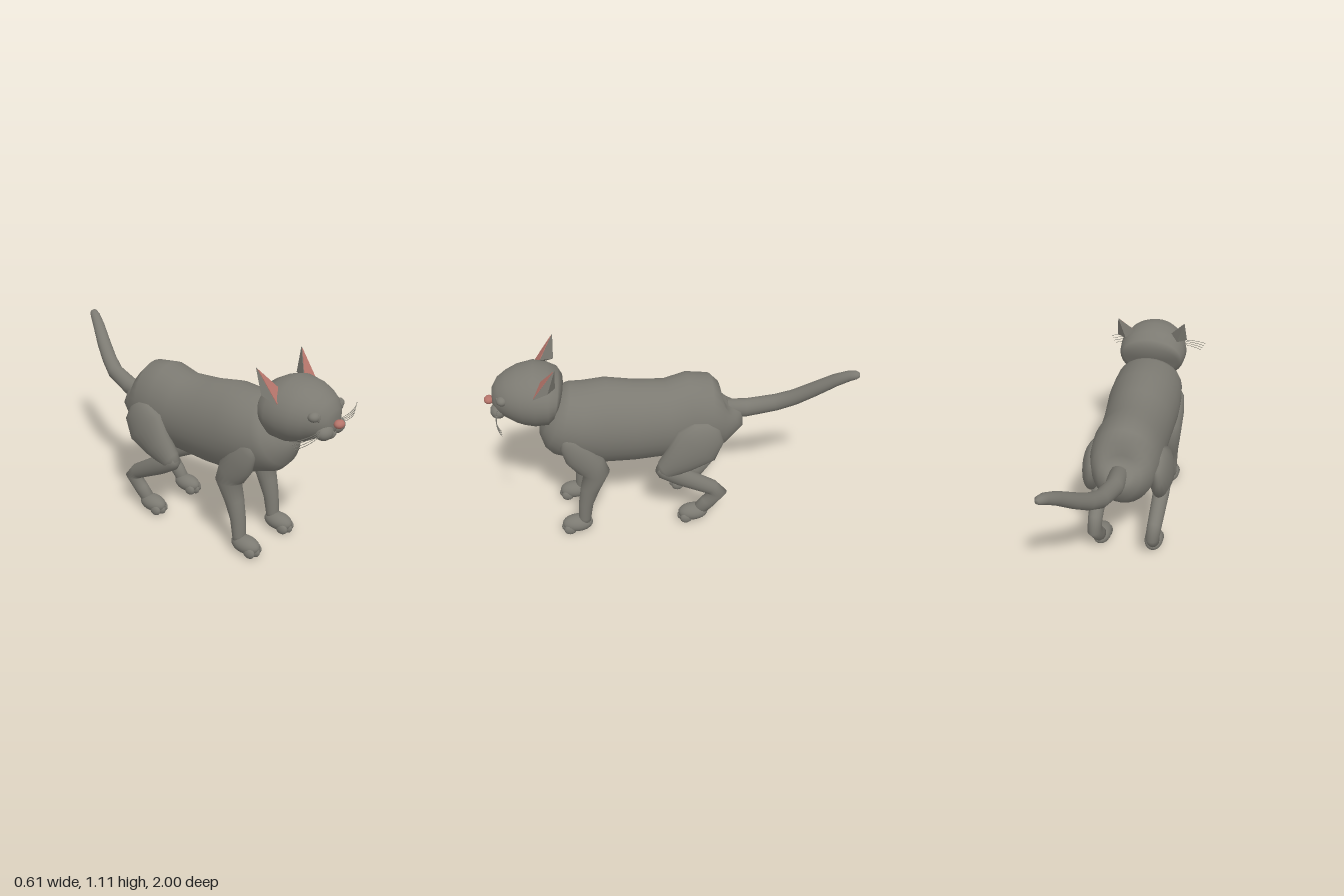
import * as THREE from 'three';
import { ConvexGeometry } from 'three/addons/geometries/ConvexGeometry.js';

const fur = new THREE.MeshStandardMaterial({ color: 0x7c7a72 });
fur.name = 'greyFur';
const pink = new THREE.MeshStandardMaterial({ color: 0xb5746a });
pink.name = 'pinkSkin';

// Skin over elliptical sections [x, y, z, halfWidth, halfDepth], closed at both ends
function loft(sections, sides = 28) {
  const centres = sections.map(s => new THREE.Vector3(s[0], s[1], s[2]));
  const last = sections.length - 1;
  const pos = [], index = [];
  sections.forEach(([, , , rx, ry], i) => {
    const before = centres[Math.max(i - 1, 0)], after = centres[Math.min(i + 1, last)];
    const a = centres[i].clone().sub(before).normalize();
    const t = after.clone().sub(centres[i]).normalize().add(a).normalize();
    const u = new THREE.Vector3(1, 0, 0).addScaledVector(t, -t.x).normalize();
    const v = t.clone().cross(u);
    for (let j = 0; j < sides; j++) {
      const ang = (j / sides) * Math.PI * 2;
      const p = centres[i].clone().addScaledVector(u, rx * Math.cos(ang)).addScaledVector(v, ry * Math.sin(ang));
      pos.push(p.x, p.y, p.z);
    }
  });
  for (let i = 0; i < last; i++) {
    for (let j = 0; j < sides; j++) {
      const k = (j + 1) % sides;
      const a = i * sides + j, b = i * sides + k;
      index.push(a, b, b + sides, a, b + sides, a + sides);
    }
  }
  const start = pos.length / 3, end = start + 1;
  pos.push(...centres[0].toArray(), ...centres[last].toArray());
  for (let j = 0; j < sides; j++) {
    const k = (j + 1) % sides;
    index.push(start, k, j, end, last * sides + j, last * sides + k);
  }
  const g = new THREE.BufferGeometry();
  g.setAttribute('position', new THREE.Float32BufferAttribute(pos, 3));
  g.setIndex(index);
  g.computeVertexNormals();
  return g;
}

function add(parent, name, geometry, material = fur) {
  const mesh = new THREE.Mesh(geometry, material);
  mesh.name = name;
  parent.add(mesh);
  return mesh;
}

function ellipsoid(parent, name, [x, y, z], [rx, ry, rz], material = fur) {
  const mesh = add(parent, name, new THREE.SphereGeometry(1, 24, 16), material);
  mesh.position.set(x, y, z);
  mesh.scale.set(rx, ry, rz);
  return mesh;
}

// Profile along z: rows of [z, bottom, top, halfWidth]
const alongZ = rows => rows.map(([z, lo, hi, w]) => [0, (lo + hi) / 2, z, w, (hi - lo) / 2]);

function paw(parent, name, x, z) {
  ellipsoid(parent, name, [x, 0.056, z], [0.055, 0.05, 0.088]);
  for (const k of [-1, 0, 1]) {
    ellipsoid(parent, name + 'Toe', [x + k * 0.032, 0.034, z + 0.058 - Math.abs(k) * 0.012],
      [0.021, 0.033, 0.036]);
  }
}

export function createModel() {
  const cat = new THREE.Group();
  cat.name = 'cat';

  // Trunk from rump to chest
  add(cat, 'body', loft(alongZ([
    [-0.375, 0.62, 0.75, 0.07], [-0.36, 0.54, 0.78, 0.115], [-0.3, 0.455, 0.835, 0.165],
    [-0.22, 0.42, 0.885, 0.192], [-0.12, 0.415, 0.902, 0.2], [0, 0.41, 0.867, 0.195],
    [0.2, 0.4, 0.878, 0.203], [0.37, 0.408, 0.905, 0.215], [0.5, 0.445, 0.895, 0.213],
    [0.6, 0.485, 0.903, 0.2], [0.64, 0.53, 0.89, 0.18], [0.68, 0.61, 0.84, 0.13], [0.69, 0.66, 0.8, 0.08],
  ])));

  // Tail
  add(cat, 'tail', loft([
    [0.005, 0.665, -0.34, 0.053, 0.057], [0.01, 0.664, -0.45, 0.05, 0.053], [0.045, 0.705, -0.61, 0.046, 0.048],
    [0.085, 0.755, -0.7, 0.044, 0.044], [0.13, 0.825, -0.79, 0.042, 0.04], [0.185, 0.91, -0.89, 0.036, 0.034],
    [0.22, 0.953, -0.955, 0.03, 0.028], [0.236, 0.963, -0.985, 0.024, 0.022], [0.24, 0.964, -1, 0.012, 0.012],
  ], 20));

  // Head, flat at the back
  const head = new THREE.Group();
  head.name = 'headGroup';
  cat.add(head);
  add(head, 'head', loft(alongZ([
    [0.608, 0.76, 0.95, 0.165], [0.62, 0.73, 0.99, 0.185], [0.66, 0.7, 1.02, 0.2],
    [0.73, 0.696, 1.04, 0.205], [0.8, 0.707, 1.025, 0.188], [0.85, 0.72, 1.0, 0.163],
    [0.89, 0.736, 0.968, 0.134], [0.925, 0.757, 0.92, 0.096], [0.948, 0.785, 0.88, 0.055], [0.955, 0.81, 0.855, 0.02],
  ]), 32));
  ellipsoid(head, 'nose', [0, 0.848, 0.973], [0.032, 0.022, 0.026], pink);
  ellipsoid(head, 'chin', [0, 0.785, 0.92], [0.045, 0.03, 0.035]);

  for (const s of [1, -1]) {
    const side = s > 0 ? 'left' : 'right';

    // Muzzle pads, freckles and eyes
    ellipsoid(head, side + 'Muzzle', [s * 0.056, 0.81, 0.925], [0.054, 0.041, 0.043]);
    for (const [x, y] of [[0.035, 0.817], [0.06, 0.805], [0.075, 0.822]]) {
      ellipsoid(head, side + 'WhiskerDot', [s * x, y, 0.962 - (x - 0.035) * 0.15], [0.004, 0.004, 0.004]);
    }
    ellipsoid(head, side + 'Eye', [s * 0.111, 0.901, 0.895], [0.037, 0.026, 0.03]).rotation.z = s * 0.08;
    ellipsoid(head, side + 'Pupil', [s * 0.108, 0.899, 0.919], [0.009, 0.022, 0.008]);

    // Whiskers
    for (let i = 0; i < 4; i++) {
      const curve = new THREE.QuadraticBezierCurve3(
        new THREE.Vector3(s * 0.085, 0.832 - i * 0.008, 0.925),
        new THREE.Vector3(s * 0.2, 0.84 - i * 0.012, 0.95),
        new THREE.Vector3(s * (0.305 - i * 0.008), 0.842 - i * 0.017, 0.9));
      add(head, side + 'Whisker', new THREE.TubeGeometry(curve, 10, 0.0016, 5));
    }

    // Pointed ear with a pink lining plate
    const v = (x, y, z) => new THREE.Vector3(s * x, y, z);
    const tip = v(0.2, 1.11, 0.608), inner = v(0.113, 1.0, 0.685), outer = v(0.186, 0.935, 0.735);
    add(head, side + 'Ear', new ConvexGeometry([tip, inner, outer, v(0.213, 0.98, 0.655), v(0.158, 0.98, 0.615)]));
    const normal = inner.clone().sub(tip).cross(outer.clone().sub(tip)).normalize().multiplyScalar(s);
    const mid = tip.clone().add(inner).add(outer).divideScalar(3);
    const plate = [tip, inner, outer].flatMap(p => {
      const q = p.clone().lerp(mid, 0.1);
      return [q.clone().addScaledVector(normal, 0.003), q.clone().addScaledVector(normal, -0.003)];
    });
    add(head, side + 'EarLining', new ConvexGeometry(plate), pink);

    // Front leg from shoulder to ankle
    const limb = (name, rows) => add(cat, side + name, loft(rows.map(([x, ...r]) => [s * x, ...r]), 20));
    limb('FrontLeg', [
      [0.185, 0.668, 0.59, 0.012, 0.02], [0.188, 0.635, 0.572, 0.032, 0.052], [0.184, 0.56, 0.528, 0.046, 0.08],
      [0.168, 0.48, 0.463, 0.059, 0.088], [0.156, 0.415, 0.428, 0.066, 0.073], [0.155, 0.3, 0.472, 0.053, 0.054],
      [0.157, 0.2, 0.5, 0.045, 0.042], [0.159, 0.1, 0.512, 0.04, 0.036], [0.159, 0.06, 0.515, 0.036, 0.034],
    ]);
    paw(cat, side + 'FrontPaw', s * 0.157, 0.557);

    // Hind leg: broad thigh, then shank bending back at the hock
    limb('Thigh', [
      [0.18, 0.672, -0.222, 0.02, 0.05], [0.188, 0.638, -0.198, 0.047, 0.112], [0.193, 0.562, -0.13, 0.065, 0.15],
      [0.193, 0.48, -0.04, 0.06, 0.105], [0.185, 0.41, 0.045, 0.05, 0.062], [0.183, 0.39, 0.075, 0.03, 0.035],
    ]);
    limb('Shank', [
      [0.183, 0.42, 0.085, 0.03, 0.03], [0.183, 0.404, 0.055, 0.046, 0.052], [0.181, 0.345, -0.045, 0.048, 0.056],
      [0.173, 0.24, -0.225, 0.042, 0.046], [0.169, 0.193, -0.268, 0.04, 0.053],
      [0.163, 0.125, -0.21, 0.038, 0.046], [0.159, 0.075, -0.165, 0.036, 0.042],
    ]);
    paw(cat, side + 'HindPaw', s * 0.157, -0.125);
  }

  return cat;
}
